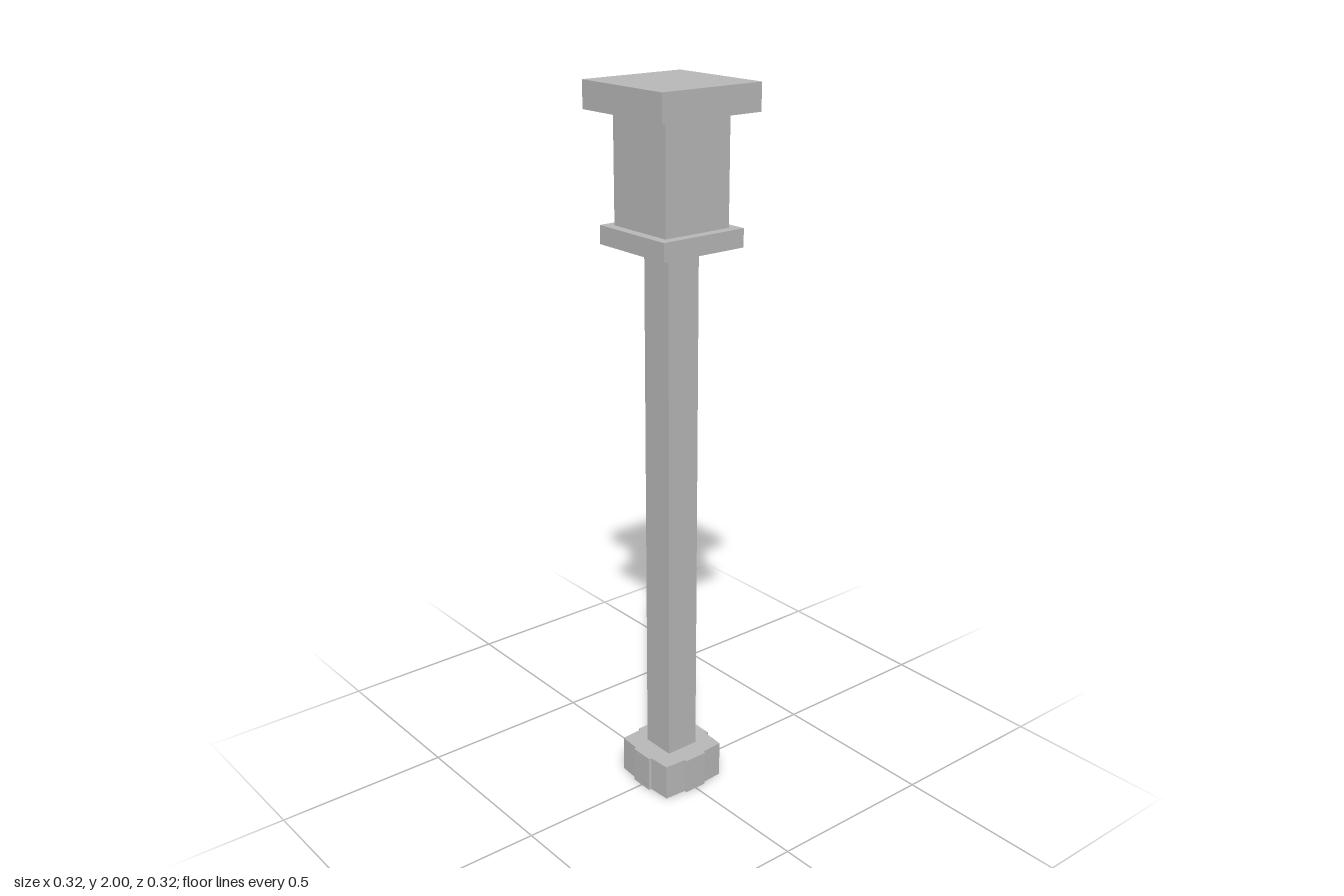
import * as THREE from 'three';

export function createModel() {
  const model = new THREE.Group();
  const stone = new THREE.MeshStandardMaterial({ color: 0xbababa });
  stone.name = 'grey stone';

  const add = (name, geometry) => {
    const mesh = new THREE.Mesh(geometry, stone);
    mesh.name = name;
    model.add(mesh);
  };
  // Square block between two heights
  const block = (name, width, bottom, top) => {
    const g = new THREE.BoxGeometry(width, top - bottom, width);
    g.translate(0, (bottom + top) / 2, 0);
    add(name, g);
  };

  block('shaft', 0.1, 0.1, 1.585);
  block('collar', 0.262, 1.585, 1.635);
  block('head', 0.208, 1.635, 1.927);
  block('cap', 0.316, 1.927, 2);

  // Foot: one side's outline, repeated around the four sides
  const side = [[0.1, -0.1], [0.104, -0.036], [0.112, -0.034], [0.112, 0.034], [0.104, 0.036]];
  const outline = [];
  for (let i = 0; i < 4; i++) {
    const c = Math.cos(i * Math.PI / 2), s = Math.sin(i * Math.PI / 2);
    for (const [x, y] of side) outline.push(new THREE.Vector2(x * c - y * s, x * s + y * c));
  }
  const foot = new THREE.ExtrudeGeometry(new THREE.Shape(outline), { depth: 0.105, bevelEnabled: false });
  foot.rotateX(-Math.PI / 2);
  add('foot', foot);

  // Small ledge on the foot
  const ledge = new THREE.BoxGeometry(0.008, 0.01, 0.08);
  ledge.translate(0.11, 0.085, -0.012);
  add('footLedge', ledge);

  return model;
}
